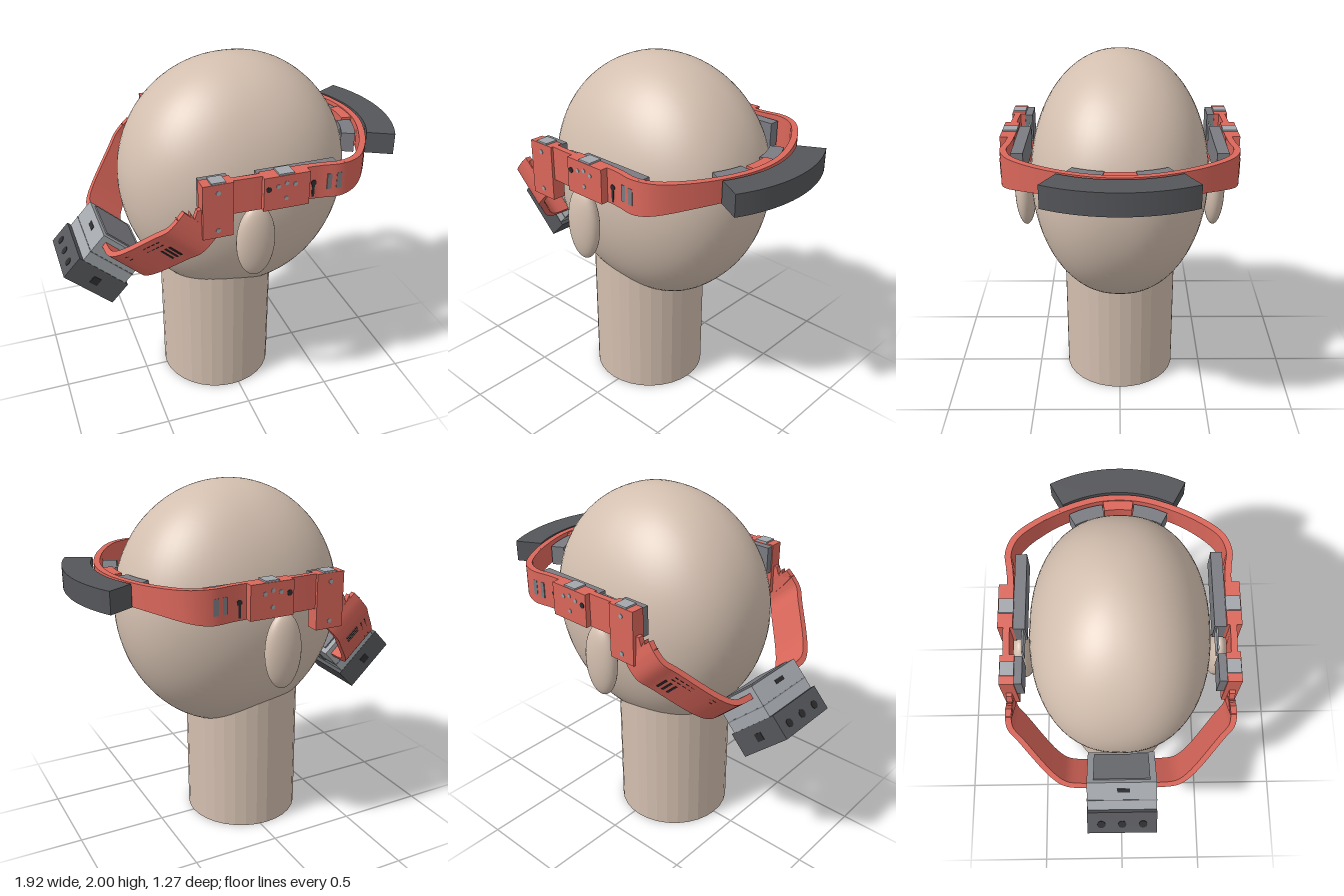
import * as THREE from 'three';
import { mergeVertices, toCreasedNormals } from 'three/addons/utils/BufferGeometryUtils.js';

const mat = (name, color) => {
  const m = new THREE.MeshStandardMaterial({ color });
  m.name = name;
  return m;
};

export function createModel() {
  const skin = mat('skin', 0xd3bfaf);
  const red = mat('redPlastic', 0xdb675b);
  const dark = mat('darkCasing', 0x55565a);
  const grey = mat('greyPad', 0x7b7c82);
  const light = mat('lightGrey', 0xa3a7ac);
  const black = mat('holeBlack', 0x2c2c2f);
  const model = new THREE.Group();
  model.name = 'headWithHeadset';

  const add = (parent, name, geo, material) => {
    const m = new THREE.Mesh(geo, material);
    m.name = name;
    parent.add(m);
    return m;
  };
  // box given by its limits on each axis
  const box = (parent, name, material, x0, x1, y0, y1, z0, z1) => {
    const m = add(parent, name, new THREE.BoxGeometry(x1 - x0, y1 - y0, Math.abs(z1 - z0)), material);
    m.position.set((x0 + x1) / 2, (y0 + y1) / 2, (z0 + z1) / 2);
    return m;
  };
  // thin disc whose face points along z or y
  const disc = (parent, name, material, r, x, y, z, axis = 'z') => {
    const m = add(parent, name, new THREE.CylinderGeometry(r, r, 0.006, 16), material);
    if (axis === 'z') m.rotation.x = Math.PI / 2;
    m.position.set(x, y, z);
    return m;
  };
  // strip of constant thickness following a 2D path, extruded by depth
  const strip = (pts, thick, depth, n) => {
    const curve = new THREE.CatmullRomCurve3(pts.map(([a, b]) => new THREE.Vector3(a, b, 0)));
    const outer = [], inner = [];
    for (let i = 0; i <= n; i++) {
      const p = curve.getPoint(i / n), t = curve.getTangent(i / n);
      const nx = -t.y * thick / 2, ny = t.x * thick / 2;
      outer.push(new THREE.Vector2(p.x + nx, p.y + ny));
      inner.unshift(new THREE.Vector2(p.x - nx, p.y - ny));
    }
    return new THREE.ExtrudeGeometry(new THREE.Shape([...outer, ...inner]), { depth, bevelEnabled: false });
  };
  // curved block around the front of the head
  const arcBlock = (name, material, r0, r1, a0, a1, y0, y1) => {
    const s = new THREE.Shape();
    s.absarc(0, 0, r1, a0, a1, false);
    s.absarc(0, 0, r0, a1, a0, true);
    const g = new THREE.ExtrudeGeometry(s, { depth: y1 - y0, bevelEnabled: false, curveSegments: 16 });
    g.rotateX(-Math.PI / 2);
    add(model, name, toCreasedNormals(g, 0.5), material).position.set(0.16, y0, 0);
  };

  // Head: sphere with a squarer plan and a longer lower half
  let g = new THREE.SphereGeometry(1, 64, 48);
  const p = g.attributes.position;
  for (let i = 0; i < p.count; i++) {
    const x = p.getX(i), y = p.getY(i), z = p.getZ(i), r = Math.hypot(x, z);
    let k = 1;
    if (r > 1e-5) k = 1 / Math.pow(Math.abs(x / r) ** 2.25 + Math.abs(z / r) ** 2.25, 1 / 2.25);
    p.setXYZ(i, 0.055 + x * k * 0.64, 1.33 + y * (y > 0 ? 0.67 : 0.72), z * k * 0.492);
  }
  g.deleteAttribute('uv');
  g.deleteAttribute('normal');
  g = mergeVertices(g, 1e-5);
  g.computeVertexNormals();
  add(model, 'head', g, skin);

  // Neck
  const neck = add(model, 'neck', toCreasedNormals(new THREE.CylinderGeometry(0.328, 0.328, 1, 32), 0.1), skin);
  neck.position.set(-0.04, 0.5, 0);

  // Front band wrapping from temple to temple, narrowing toward the brow
  const half = [[-0.16, 0.583], [0, 0.587], [0.25, 0.575], [0.33, 0.58], [0.43, 0.592], [0.53, 0.555],
    [0.64, 0.42], [0.73, 0.23], [0.768, 0.08]];
  const full = [...half, ...half.slice().reverse().map(([x, z]) => [x, -z])];
  const band = strip(full, 0.034, 1, 90).rotateX(-Math.PI / 2);
  const bp = band.attributes.position;
  for (let i = 0; i < bp.count; i++) {
    const t = THREE.MathUtils.smoothstep(bp.getX(i), 0.42, 0.74);
    bp.setY(i, bp.getY(i) > 0.5 ? 1.587 - 0.01 * t : 1.402 + 0.05 * t);
  }
  band.computeVertexNormals();
  add(model, 'frontBand', toCreasedNormals(band, 0.5), red);

  // Visor and brow padding
  arcBlock('visor', dark, 0.646, 0.8, -0.49, 0.49, 1.455, 1.575);
  arcBlock('browBlock', red, 0.54, 0.605, -0.14, 0.14, 1.46, 1.57);
  for (const s of [-1, 1]) {
    const a = s > 0 ? [0.15, 0.48] : [-0.48, -0.15];
    arcBlock('browPad', grey, 0.51, 0.585, a[0], a[1], 1.45, 1.56);
  }

  // Rear assembly, tilted down behind the head
  const rear = new THREE.Group();
  rear.name = 'rearAssembly';
  rear.rotation.z = THREE.MathUtils.degToRad(47);
  model.add(rear);
  box(rear, 'batteryPack', dark, 0.025, 0.165, 1.0, 1.34, -0.192, 0.192);
  box(rear, 'rearHousing', light, 0.165, 0.345, 1.02, 1.315, -0.19, 0.19);
  box(rear, 'housingGroove', grey, 0.225, 0.231, 1.018, 1.317, -0.192, 0.192);
  box(rear, 'rearPad', grey, 0.345, 0.353, 1.05, 1.29, -0.155, 0.155);
  box(rear, 'housingSlot', black, 0.282, 0.306, 1.312, 1.318, -0.025, 0.045);
  box(rear, 'housingHatch', grey, 0.2, 0.3, 1.017, 1.023, -0.05, 0.05);
  for (const z of [-0.115, 0, 0.115]) disc(rear, 'batteryPort', black, 0.023, 0.085, 1.34, z, 'y');

  for (const s of [-1, 1]) {
    const side = s > 0 ? 'left' : 'right';
    const b = (name, m, x0, x1, y0, y1, z0, z1) => box(model, side + name, m, x0, x1, y0, y1, s * z0, s * z1);

    // Ear
    const ear = add(model, side + 'Ear', new THREE.SphereGeometry(1, 32, 24), skin);
    ear.scale.set(0.106, 0.21, 0.06);
    ear.position.set(0, 1.178, s * 0.542);

    // Hinge bracket and temple block with their padding
    b('HingeBracket', red, -0.31, -0.15, 1.288, 1.587, 0.54, 0.615);
    b('TempleBlock', red, 0, 0.245, 1.403, 1.587, 0.555, 0.634);
    b('BracketInset', light, -0.265, -0.19, 1.58, 1.596, 0.54, 0.612);
    b('TempleInset', light, 0.08, 0.16, 1.58, 1.596, 0.552, 0.63);
    b('BracketPad', grey, -0.305, -0.155, 1.42, 1.58, 0.5, 0.54);
    b('TemplePad', grey, 0, 0.435, 1.42, 1.565, 0.493, 0.555);
    b('PadTab', light, -0.12, 0, 1.45, 1.55, 0.503, 0.512);

    // Holes and slots
    for (const [x, y] of [[0.025, 1.522], [0.075, 1.532], [0.12, 1.545], [0.165, 1.532], [0.12, 1.46]])
      disc(model, side + 'TempleHole', x < 0.05 ? black : light, x < 0.05 ? 0.015 : 0.011, x, y, s * 0.634);
    for (const y of [1.54, 1.33]) disc(model, side + 'BracketHole', light, 0.012, -0.23, y, s * 0.615);
    disc(model, side + 'KeyHole', black, 0.015, 0.285, 1.495, s * 0.594);
    b('KeySlot', black, 0.277, 0.291, 1.415, 1.49, 0.59, 0.596);
    b('BandSlot', grey, 0.355, 0.383, 1.45, 1.537, 0.6, 0.606);
    b('BandSlot', grey, 0.405, 0.433, 1.45, 1.537, 0.604, 0.611);

    // Rear arm bending in from the hinge to the housing
    const path = [[0.79, 0.58], [0.73, 0.586], [0.67, 0.578], [0.6, 0.53], [0.37, 0.37], [0.315, 0.3], [0.3, 0.18]];
    const arm = strip(path.map(([u, z]) => [u, -s * z]), 0.032, 0.235, 40).rotateX(-Math.PI / 2);
    add(rear, side + 'RearArm', toCreasedNormals(arm, 0.5), red).position.y = 1.045;

    // Slots and stitching on the outer face of the arm
    const plate = (name, m, t, w, y, h) => {
      const c = add(rear, side + name, new THREE.BoxGeometry(w, h, 0.006), m);
      c.position.set(0.38 + 0.21 * t - 0.0095, y, s * (0.377 + 0.146 * t + 0.0137));
      c.rotation.y = -s * 0.607;
    };
    for (const t of [0.8, 0.92, 1.04]) plate('ArmSlot', black, t, 0.012, 1.14, 0.085);
    for (let i = 0; i < 8; i++)
      for (const y of [1.215, 1.245]) plate('ArmStitch', black, 0.05 + i * 0.13, 0.02, y, 0.004);

    // Toothed latch between arm and bracket
    const latch = new THREE.Shape([[-0.25, 1.29], [-0.25, 1.45], [-0.33, 1.45], [-0.345, 1.405], [-0.365, 1.445],
      [-0.375, 1.4], [-0.435, 1.42], [-0.39, 1.36], [-0.33, 1.29]].map(([x, y]) => new THREE.Vector2(x, y)));
    const l = add(model, side + 'Latch', new THREE.ExtrudeGeometry(latch, { depth: 0.03, bevelEnabled: false }), red);
    l.position.z = s * 0.58 - 0.015;

    // Battery side hatch
    box(rear, side + 'BatteryHatch', black, 0.07, 0.115, 1.15, 1.2, s * 0.19, s * 0.195);
  }
  return model;
}
